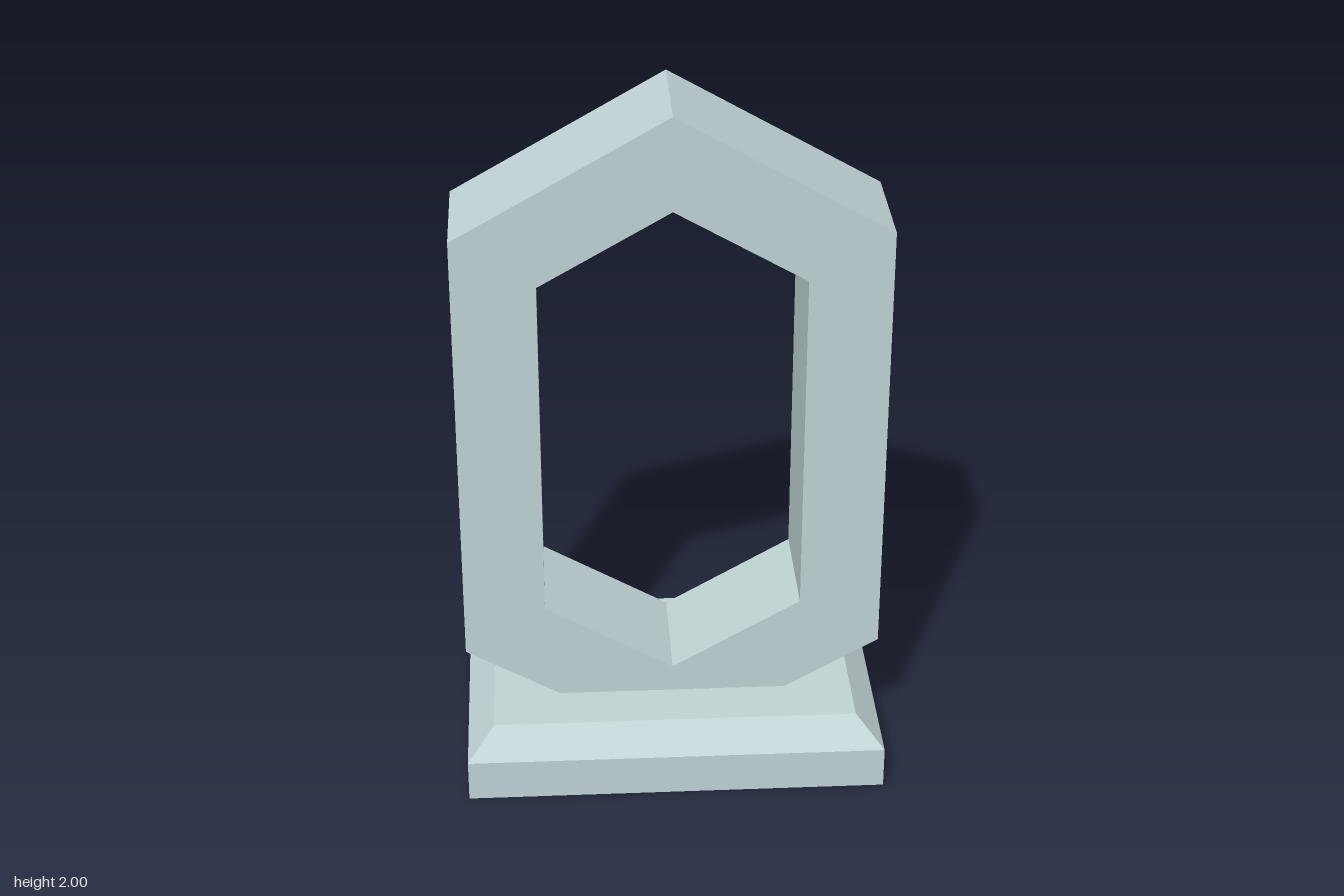
import * as THREE from 'three';

const material = new THREE.MeshStandardMaterial({ color: 0xc1d3d5, flatShading: true });

// Mirrors the right-hand points of an outline across x = 0 to close it.
function mirrored(points) {
  const left = points.filter(([x]) => x > 0).reverse().map(([x, y]) => [-x, y]);
  return [...points, ...left].map(([x, y]) => new THREE.Vector2(x, y));
}

// Block whose top is drawn in by an equal inset on every side.
function block(name, width, height, depth, y, inset = 0) {
  const geometry = new THREE.BoxGeometry(width, height, depth);
  const p = geometry.attributes.position;
  for (let i = 0; i < p.count; i++) {
    if (p.getY(i) < 0) continue;
    p.setX(i, p.getX(i) - Math.sign(p.getX(i)) * inset);
    p.setZ(i, p.getZ(i) - Math.sign(p.getZ(i)) * inset);
  }
  geometry.translate(0, y + height / 2, 0);
  geometry.computeVertexNormals();
  const mesh = new THREE.Mesh(geometry, material);
  mesh.name = name;
  return mesh;
}

export function createModel() {
  const group = new THREE.Group();
  group.name = 'hexagonalRingOnPlinth';

  // Plinth: straight slab with a bevelled upper edge
  const plinth = new THREE.Group();
  plinth.name = 'plinth';
  plinth.add(block('plinthSlab', 1.2, 0.123, 0.8, 0));
  plinth.add(block('plinthBevel', 1.2, 0.077, 0.8, 0.123, 0.077));
  group.add(plinth);

  // Tall hexagonal ring, its lower point cut flat where it sits on the plinth
  const outline = new THREE.Shape(mirrored([[0.33, 0.2], [0.6, 0.355], [0.6, 1.655], [0, 2]]));
  outline.holes.push(new THREE.Path(mirrored([[0, 0.282], [0.368, 0.495], [0.368, 1.517], [0, 1.73]])));
  const depth = 0.344;
  const geometry = new THREE.ExtrudeGeometry(outline, { depth, bevelEnabled: false });
  geometry.translate(0, 0, -depth / 2);
  const ring = new THREE.Mesh(geometry, material);
  ring.name = 'hexagonalRing';
  group.add(ring);

  return group;
}
